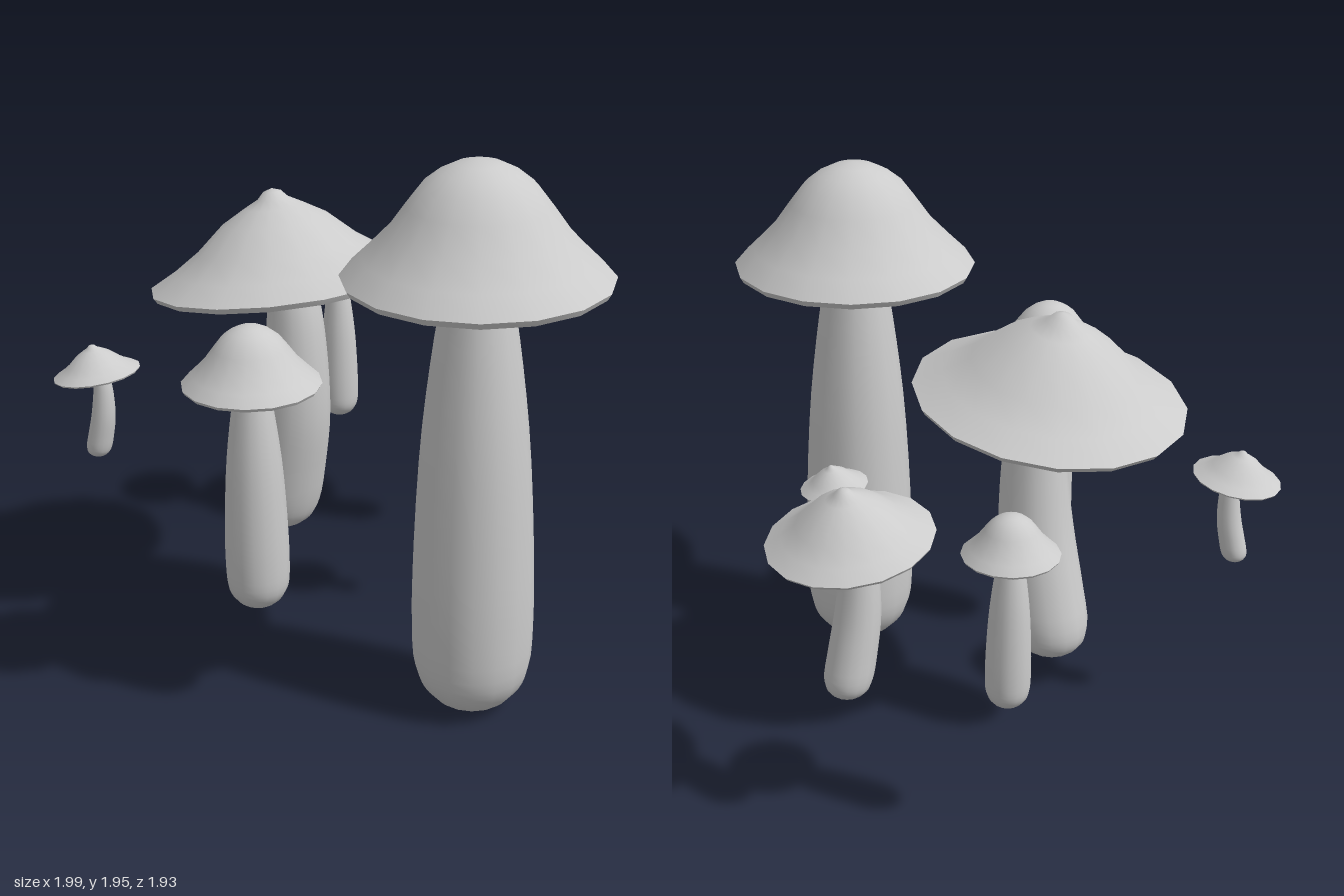
import * as THREE from 'three';
import { toCreasedNormals } from 'three/addons/utils/BufferGeometryUtils.js';

const SIDES = 16;
const TILT = 0.148; // lean of the pointed caps, in radians

// Lathed cap, closed by a shallow hollow underside; profile is [radius, height]
function capGeometry(profile) {
  const points = profile.map(([r, y]) => new THREE.Vector2(r, y));
  return toCreasedNormals(new THREE.LatheGeometry(points, SIDES), 0.75);
}

// Lathed stem whose rings are shifted sideways; rows are [height, radius, shift]
function stemGeometry(rows) {
  const curve = new THREE.CatmullRomCurve3(rows.map(([y, r, x]) => new THREE.Vector3(r, y, x)));
  const rings = curve.getPoints(28);
  const geometry = new THREE.LatheGeometry(
    rings.map((p) => new THREE.Vector2(Math.max(p.x, 0), p.y)), SIDES);
  const pos = geometry.attributes.position;
  for (let i = 0; i < pos.count; i++) {
    pos.setX(i, pos.getX(i) + rings[i % rings.length].z);
  }
  return toCreasedNormals(geometry, 1);
}

export function createModel() {
  const model = new THREE.Group();
  model.name = 'mushroomCluster';
  const material = new THREE.MeshStandardMaterial({ color: 0xcccccc, side: THREE.DoubleSide });

  const domed = {
    name: 'domedMushroom',
    capHeight: 1.545,
    tilt: 0,
    cap: capGeometry([[0, 0.05], [0.22, 0.03], [0.43, 0], [0.443, 0.022], [0.375, 0.088], [0.3, 0.165],
      [0.235, 0.255], [0.185, 0.32], [0.13, 0.363], [0.075, 0.39], [0, 0.405]]),
    stem: stemGeometry([[0, 0, 0], [0.008, 0.06, 0], [0.03, 0.115, 0], [0.08, 0.165, 0], [0.15, 0.197, 0],
      [0.3, 0.208, 0], [0.6, 0.203, 0], [1, 0.18, 0], [1.3, 0.146, 0], [1.54, 0.11, 0], [1.62, 0.1, 0]]),
  };
  const pointed = {
    name: 'pointedMushroom',
    capHeight: 0.985,
    tilt: TILT,
    cap: capGeometry([[0, 0.05], [0.23, 0.03], [0.462, 0], [0.475, 0.02], [0.38, 0.073], [0.29, 0.135],
      [0.19, 0.225], [0.105, 0.275], [0.055, 0.302], [0.032, 0.327], [0, 0.338]]),
    stem: stemGeometry([[0, 0, -0.045], [0.02, 0.07, -0.045], [0.06, 0.118, -0.042], [0.12, 0.139, -0.034],
      [0.275, 0.141, 0], [0.475, 0.134, 0.04], [0.675, 0.119, 0.058], [0.875, 0.1, 0.06],
      [1.005, 0.088, 0.043], [1.05, 0.084, 0.035]]),
  };

  // kind, base position, scale, turn about the vertical (raised side of the cap)
  const mushrooms = [
    [domed, 0.55, 0, 0.2, 1, 0],
    [domed, 0.05, 0.39, 0.73, 0.52, 0],
    [domed, -0.775, 0.515, -0.38, 0.36, 0],
    [pointed, -0.415, 0.325, 0.2, 1, 0],
    [pointed, -0.38, 0.525, -0.7, 0.58, -Math.PI / 2],
    [pointed, 0.18, 0.68, -0.26, 0.257, Math.atan2(-0.13, -0.06)],
    [pointed, -0.842, 0.648, 0.73, 0.333, Math.atan2(0.067, 0.138)],
  ];

  mushrooms.forEach(([kind, x, y, z, scale, turn], i) => {
    const group = new THREE.Group();
    group.name = kind.name + (i + 1);
    const stem = new THREE.Mesh(kind.stem, material);
    stem.name = 'stem';
    const cap = new THREE.Mesh(kind.cap, material);
    cap.name = 'cap';
    cap.position.y = kind.capHeight;
    cap.rotation.z = kind.tilt;
    group.add(stem, cap);
    group.position.set(x, y, z);
    group.rotation.y = turn;
    group.scale.setScalar(scale);
    model.add(group);
  });
  return model;
}
